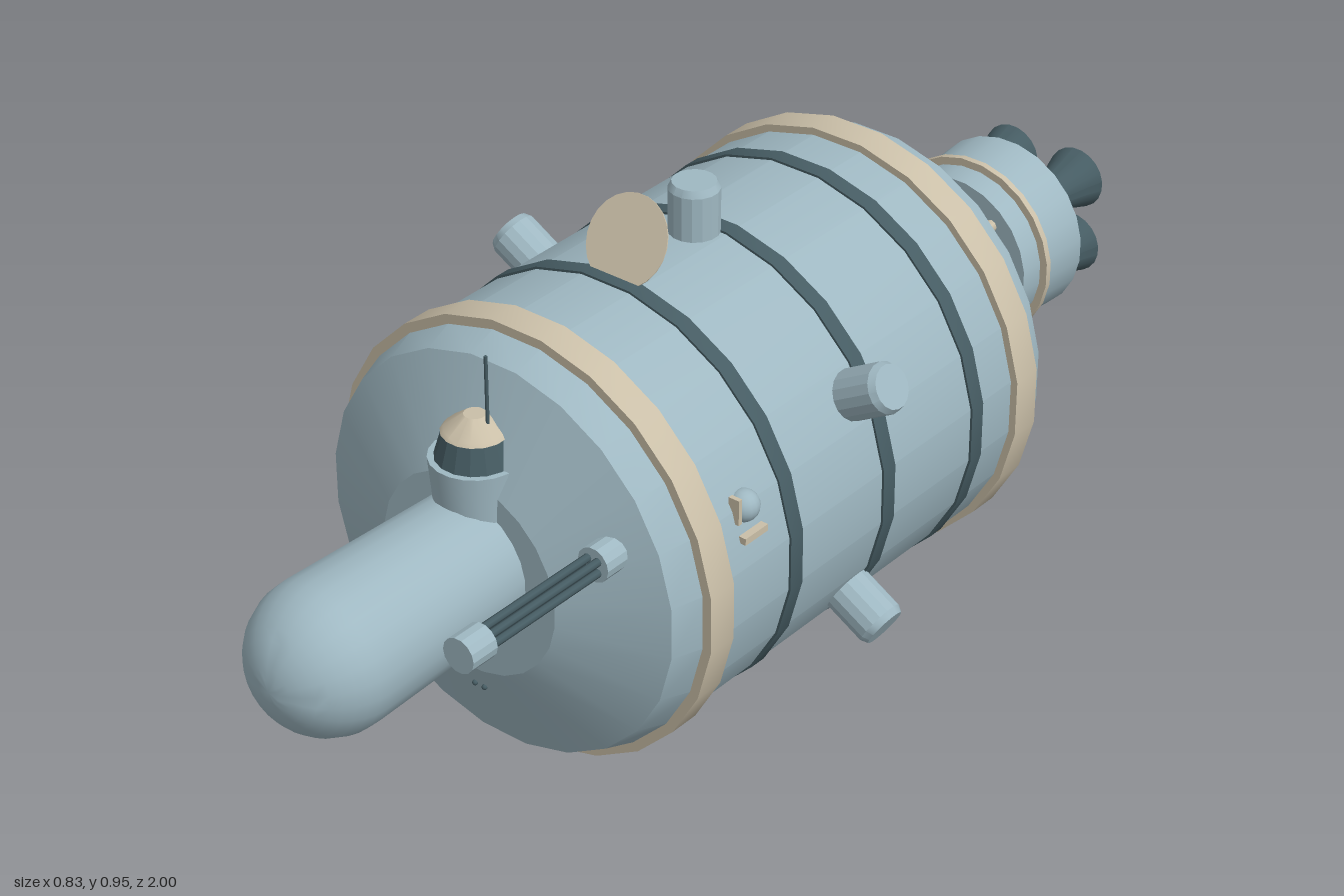
import * as THREE from 'three';
import { toCreasedNormals } from 'three/addons/utils/BufferGeometryUtils.js';

const AXIS_Y = 0.46;

export function createModel() {
  const model = new THREE.Group();
  model.name = 'spaceStation';

  const material = (name, color, side = THREE.FrontSide) => {
    const m = new THREE.MeshStandardMaterial({ color, side });
    m.name = name;
    return m;
  };
  const hullBlue = material('hullBlue', 0x9fb8c2);
  const tan = material('tan', 0xcabfa8);
  const darkSlate = material('darkSlate', 0x465c63, THREE.DoubleSide);

  const add = (name, geometry, mat, x = 0, y = AXIS_Y, z = 0) => {
    const mesh = new THREE.Mesh(geometry, mat);
    mesh.name = name;
    mesh.position.set(x, y, z);
    model.add(mesh);
    return mesh;
  };

  // Revolved solid along +y from [radius, height] pairs, with crisp profile edges
  const turned = (profile, sides = 24) => toCreasedNormals(
    new THREE.LatheGeometry(profile.map(([r, h]) => new THREE.Vector2(r, h)), sides, Math.PI / sides), 0.36);
  // The same, laid along +z
  const turnedZ = (profile, sides) => turned(profile, sides).rotateX(Math.PI / 2);

  // Round rod between two points
  const rod = (name, a, b, radius, mat) => {
    const from = new THREE.Vector3(...a), to = new THREE.Vector3(...b);
    const dir = to.clone().sub(from);
    const mesh = add(name, new THREE.CylinderGeometry(radius, radius, dir.length(), 8), mat);
    mesh.position.copy(from).add(to).multiplyScalar(0.5);
    mesh.quaternion.setFromUnitVectors(new THREE.Vector3(0, 1, 0), dir.normalize());
    return mesh;
  };

  // Main hull with conical ends
  add('hull', turnedZ([
    [0, -0.562], [0.178, -0.562], [0.352, -0.485], [0.373, -0.42],
    [0.373, 0.42], [0.352, 0.485], [0.178, 0.557], [0, 0.557],
  ]), hullBlue);

  // Raised collars and thin hull bands
  const band = (name, z, width, inner, outer, mat) => add(name, turnedZ([
    [inner, -width / 2], [outer, -width / 2], [outer, width / 2], [inner, width / 2],
  ]), mat, 0, AXIS_Y, z);
  for (const z of [0.403, -0.403]) band('endCollar', z, 0.056, 0.34, 0.386, tan);
  for (const z of [0.206, -0.035, -0.276]) band('hullBand', z, 0.03, 0.365, 0.377, darkSlate);

  // Six radial ports with chamfered ends
  for (let i = 0; i < 6; i++) {
    const port = add('radialPort', turned([
      [0.043, 0.34], [0.043, 0.448], [0.037, 0.46], [0, 0.46],
    ], 16), hullBlue);
    port.rotation.z = i * Math.PI / 3;
  }

  // Forward module: slightly tapered tube with a round nose
  const nose = [[0.117, 0.5]];
  for (let i = 0; i <= 10; i++) {
    const a = i / 10 * Math.PI / 2;
    nose.push([i === 10 ? 0 : 0.128 * Math.cos(a), 0.872 + 0.128 * Math.sin(a)]);
  }
  add('forwardModule', turnedZ(nose), hullBlue, 0, 0.483);

  // Cupola tower
  add('cupolaBase', turned([[0.066, 0.48], [0.07, 0.6], [0.076, 0.668], [0, 0.668]], 20), hullBlue, 0, 0, 0.53);
  add('cupolaWindows', turned([[0.066, 0.668], [0.053, 0.712], [0, 0.712]], 16), darkSlate, 0, 0, 0.53);
  add('cupolaRoof', turned([[0.055, 0.712], [0.05, 0.718], [0.018, 0.742], [0, 0.742]], 16), tan, 0, 0, 0.53);
  rod('whipAntenna', [0.026, 0.73, 0.53], [0.026, 0.853, 0.53], 0.003, darkSlate);

  // Small sensors low on the front cone
  for (const x of [-0.01, 0.01]) add('frontSensor', new THREE.SphereGeometry(0.005, 10, 8), darkSlate, x, 0.238, 0.54);

  // Forward boom: four rods between two end drums
  const drum = (z0, z1) => turnedZ([[0, z0], [0.03, z0], [0.03, z1], [0, z1]], 14);
  add('boomBase', drum(0.49, 0.55), hullBlue, 0.25, 0.58);
  add('boomHead', drum(0.8, 0.853), hullBlue, 0.25, 0.58);
  for (const sx of [-1, 1]) for (const sy of [-1, 1]) {
    const x = 0.25 + sx * 0.01, y = 0.58 + sy * 0.01;
    rod('boomRod', [x, y, 0.54], [x, y, 0.81], 0.007, darkSlate);
  }

  // Dish antenna, tilted forward and up
  const dish = add('dishAntenna', turnedZ([
    [0, -0.034], [0.04, -0.022], [0.077, -0.002], [0.077, 0], [0, 0],
  ]), tan, 0, 0.884, 0.168);
  dish.rotation.x = -0.55;
  rod('dishMount', [0, 0.81, 0.13], [0, 0.868, 0.142], 0.009, darkSlate);

  // Side sensor pod
  add('sensorPod', new THREE.SphereGeometry(0.027, 16, 12), hullBlue, 0.342, 0.6, 0.302);
  add('sensorPodStep', new THREE.BoxGeometry(0.03, 0.012, 0.055), tan, 0.354, 0.556, 0.302);
  add('sensorPodPost', new THREE.BoxGeometry(0.02, 0.045, 0.008), tan, 0.347, 0.605, 0.328);

  // Handrail along the lower hull, on short posts
  const rail = (z, y = 0.118) => [0.148, y, z];
  rod('handrail', rail(0.376), rail(-0.335), 0.007, hullBlue);
  for (const z of [0.33, 0.08, -0.16, -0.32]) rod('handrailPost', rail(z), [0.135, 0.15, z], 0.005, hullBlue);

  // Rear truss: corner rails with crossed braces on each side
  const corners = [[1, 1], [-1, 1], [-1, -1], [1, -1]].map(([sx, sy]) => [sx * 0.077, AXIS_Y + sy * 0.087]);
  corners.forEach((c, i) => {
    const n = corners[(i + 1) % 4];
    rod('trussRail', [...c, -0.55], [...c, -0.74], 0.012, i === 0 ? tan : darkSlate);
    for (const [z0, z1] of [[-0.56, -0.645], [-0.645, -0.73]]) {
      rod('trussBrace', [...c, z0], [...n, z1], 0.007, darkSlate);
      rod('trussBrace', [...n, z0], [...c, z1], 0.007, darkSlate);
    }
  });

  // Docking ring under the truss
  add('dockingRing', new THREE.TorusGeometry(0.062, 0.012, 10, 24), hullBlue, 0, 0.344, -0.6);
  rod('dockingRingStrut', [0, 0.405, -0.55], [0, 0.405, -0.61], 0.008, darkSlate);

  // Engine block with its band
  add('engineBlock', turnedZ([[0, -0.883], [0.165, -0.883], [0.152, -0.727], [0, -0.727]]), hullBlue);
  band('engineBand', -0.777, 0.012, 0.14, 0.17, tan);

  // Four bell nozzles, open to the rear
  for (const sx of [-1, 1]) for (const sy of [-1, 1]) {
    add('engineNozzle', turnedZ([
      [0.057, -1], [0.046, -0.965], [0.036, -0.925], [0.029, -0.875], [0, -0.875],
    ], 20), darkSlate, sx * 0.07, AXIS_Y + sy * 0.066);
  }

  return model;
}
